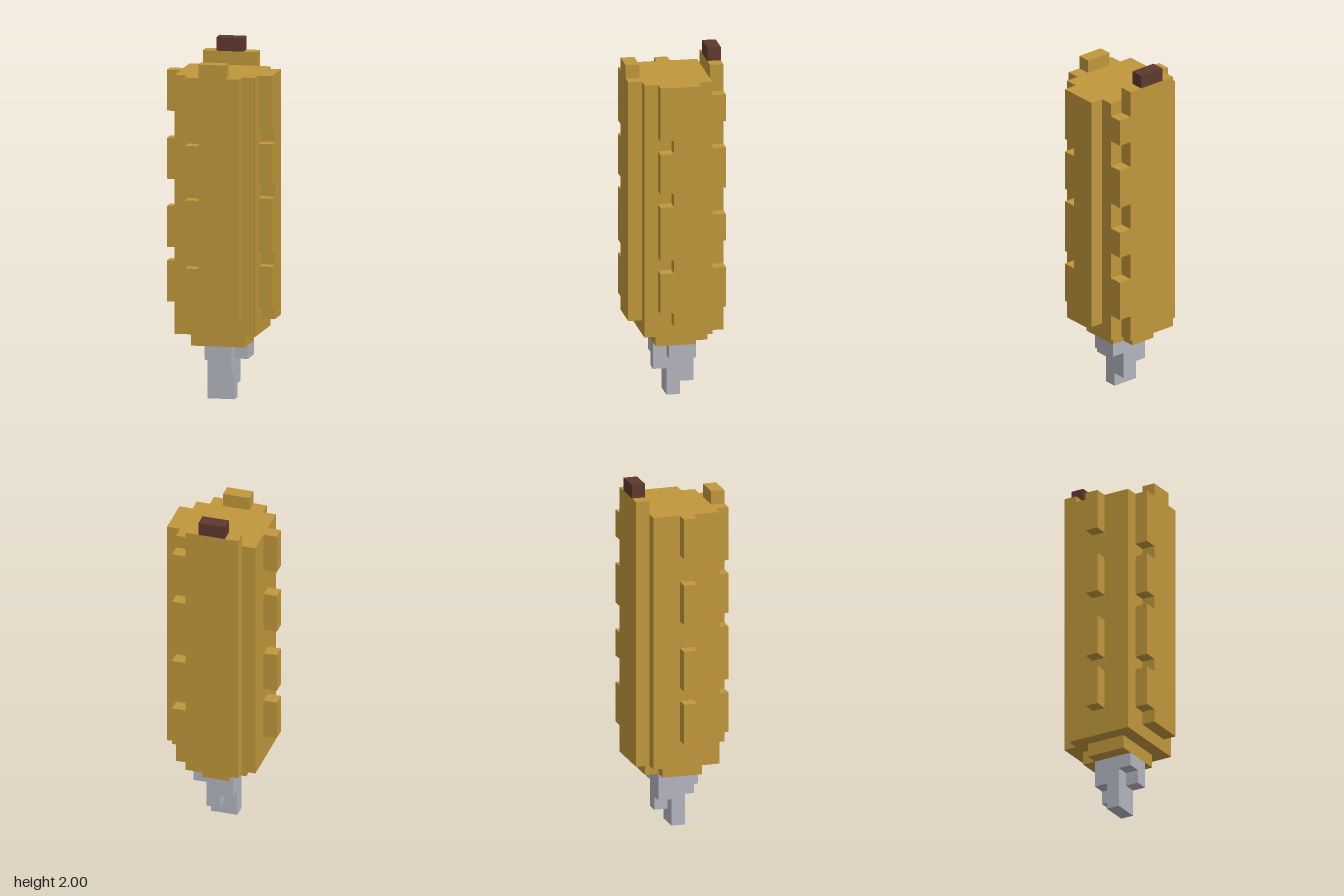
import * as THREE from 'three';

const U = 2 / 26; // one block of the grid

export function createModel() {
  const tan = new THREE.MeshStandardMaterial({ color: 0xc0973b });
  tan.name = 'golden tan';
  const brown = new THREE.MeshStandardMaterial({ color: 0x5e392e });
  brown.name = 'dark brown';
  const grey = new THREE.MeshStandardMaterial({ color: 0xb3b5bf });
  grey.name = 'light grey';

  const model = new THREE.Group();

  // Box given by its extents in blocks
  function block(name, mat, [x0, x1], [y0, y1], [z0, z1], parent = model) {
    const geo = new THREE.BoxGeometry((x1 - x0) * U, (y1 - y0) * U, (z1 - z0) * U);
    const mesh = new THREE.Mesh(geo, mat);
    mesh.position.set((x0 + x1) / 2 * U, (y0 + y1) / 2 * U, (z0 + z1) / 2 * U);
    mesh.name = name;
    parent.add(mesh);
  }

  function group(name) {
    const g = new THREE.Group();
    g.name = name;
    model.add(g);
    return g;
  }

  // Core and the stepped underside
  block('core', tan, [-3, 3], [5, 24], [-2.5, 2.5]);
  block('lowerStep', tan, [-2, 2], [4, 5], [-1.5, 1.5]);
  block('lowerStepBack', tan, [-1, 1], [4, 5], [-2.5, -1.5]);

  // Front panel with a toothed right edge and a raised lip
  const front = group('frontPanel');
  block('frontPlate', tan, [-1, 2], [6, 24], [2.5, 3.5], front);
  block('frontLip', tan, [-1, 1], [24, 25], [2.5, 3.5], front);

  // Left panel with a toothed front edge
  const left = group('leftPanel');
  block('leftPlate', tan, [3, 4], [6, 24], [-1.5, 0.5], left);

  for (const y of [[7, 10], [11, 15], [16, 19], [20, 24]]) {
    block('frontTooth', tan, [-2, -1], y, [2.5, 3.5], front);
    block('leftTooth', tan, [3, 4], y, [0.5, 1.5], left);
  }

  // Back panel with a toothed left edge
  const back = group('backPanel');
  block('backPlate', tan, [-2, 2], [5, 25], [-3.5, -2.5], back);
  for (const y of [[7, 10], [12, 14], [16, 19], [21, 23]]) {
    block('backTooth', tan, [2, 3], y, [-3.5, -2.5], back);
  }
  block('topStub', brown, [-1, 1], [25, 26], [-3.5, -2.5]);

  // Separate studs up the right side
  const studs = group('rightStuds');
  for (const y of [[7, 10], [11, 14], [16, 19], [21, 24]]) {
    block('stud', tan, [-4, -3], y, [-0.5, 0.5], studs);
  }

  // Stepped metal tip
  const tip = group('tip');
  block('tipCore', grey, [-1, 1], [0, 4], [-0.5, 0.5], tip);
  block('tipFrontLong', grey, [0, 1], [2, 4], [0.5, 1.5], tip);
  block('tipFrontShort', grey, [-1, 0], [3, 4], [0.5, 1.5], tip);
  block('tipBackLong', grey, [0, 1], [1, 4], [-1.5, -0.5], tip);
  block('tipBackShort', grey, [-1, 0], [2, 4], [-1.5, -0.5], tip);
  block('tipSide', grey, [1, 2], [3, 4], [-1.5, 0.5], tip);

  return model;
}
